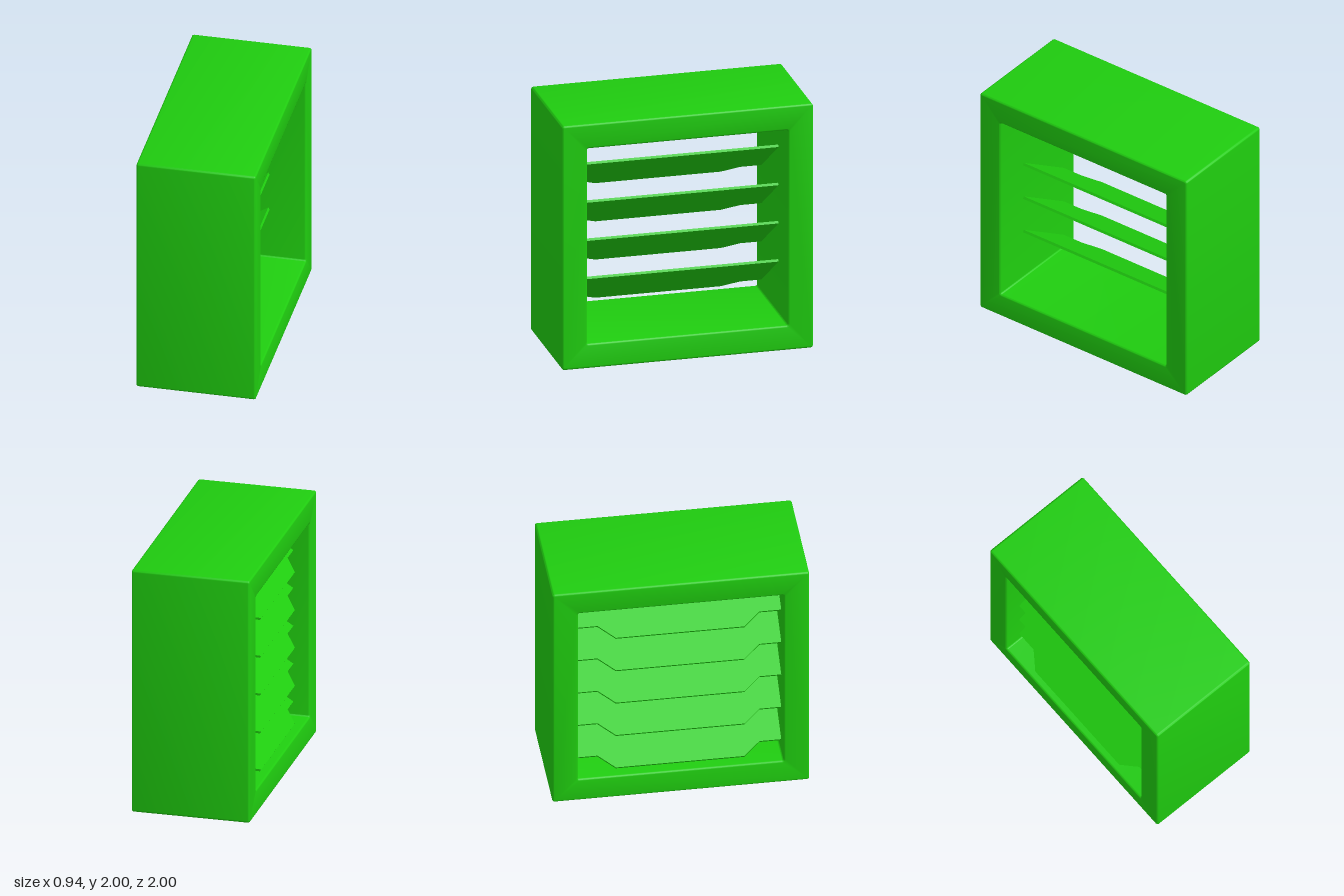
import * as THREE from 'three';
import { toCreasedNormals } from 'three/addons/utils/BufferGeometryUtils.js';

const green = new THREE.MeshStandardMaterial({ color: 0x1fcc0f });

// Rounded square outline centred on (0, 1)
function roundedSquare(target, half, r) {
  const b = 1 - half, t = 1 + half;
  target.moveTo(-half + r, b);
  target.lineTo(half - r, b);
  target.absarc(half - r, b + r, r, -Math.PI / 2, 0);
  target.lineTo(half, t - r);
  target.absarc(half - r, t - r, r, 0, Math.PI / 2);
  target.lineTo(-half + r, t);
  target.absarc(-half + r, t - r, r, Math.PI / 2, Math.PI);
  target.lineTo(-half, b + r);
  target.absarc(-half + r, b + r, r, Math.PI, Math.PI * 1.5);
  return target;
}

// Deep square frame with softened edges, open along x
function makeFrame() {
  const depth = 0.94, bevel = 0.015;
  const shape = roundedSquare(new THREE.Shape(), 1, 0.02);
  shape.holes.push(roundedSquare(new THREE.Path(), 0.8, 0.012));
  const geo = new THREE.ExtrudeGeometry(shape, {
    depth: depth - 2 * bevel, curveSegments: 3,
    bevelThickness: bevel, bevelSize: bevel, bevelOffset: -bevel, bevelSegments: 3,
  });
  geo.translate(0, 0, bevel - depth / 2).rotateY(Math.PI / 2);
  const mesh = new THREE.Mesh(toCreasedNormals(geo, 0.6), green);
  mesh.name = 'frame';
  return mesh;
}

// Thin slat: full width at the walls, with a tapered tongue along its lower edge
function makeSlatGeometry() {
  const length = 0.715, tongue = 0.11, angle = Math.atan2(0.385, 0.6);
  const shape = new THREE.Shape([
    [-0.5, 0], [0.5, 0], [0.63, tongue], [0.805, tongue],
    [0.805, length], [-0.805, length], [-0.805, tongue], [-0.63, tongue],
  ].map(([u, v]) => new THREE.Vector2(u, v)));
  const geo = new THREE.ExtrudeGeometry(shape, { depth: 0.02, bevelEnabled: false });
  // Width runs along z, length climbs towards +x
  const c = Math.cos(angle), s = Math.sin(angle);
  return geo.applyMatrix4(new THREE.Matrix4().makeBasis(
    new THREE.Vector3(0, 0, 1), new THREE.Vector3(c, s, 0), new THREE.Vector3(-s, c, 0)));
}

export function createModel() {
  const model = new THREE.Group();
  model.name = 'louvredVent';
  model.add(makeFrame());

  // Five evenly spaced slats, the top one running into the frame
  const slats = new THREE.Group();
  slats.name = 'slats';
  const slatGeo = makeSlatGeometry();
  for (let i = 0; i < 5; i++) {
    const slat = new THREE.Mesh(slatGeo, green);
    slat.name = `slat${i + 1}`;
    slat.position.set(-0.42, 0.237 + i * 0.313, 0);
    slats.add(slat);
  }
  model.add(slats);
  return model;
}
